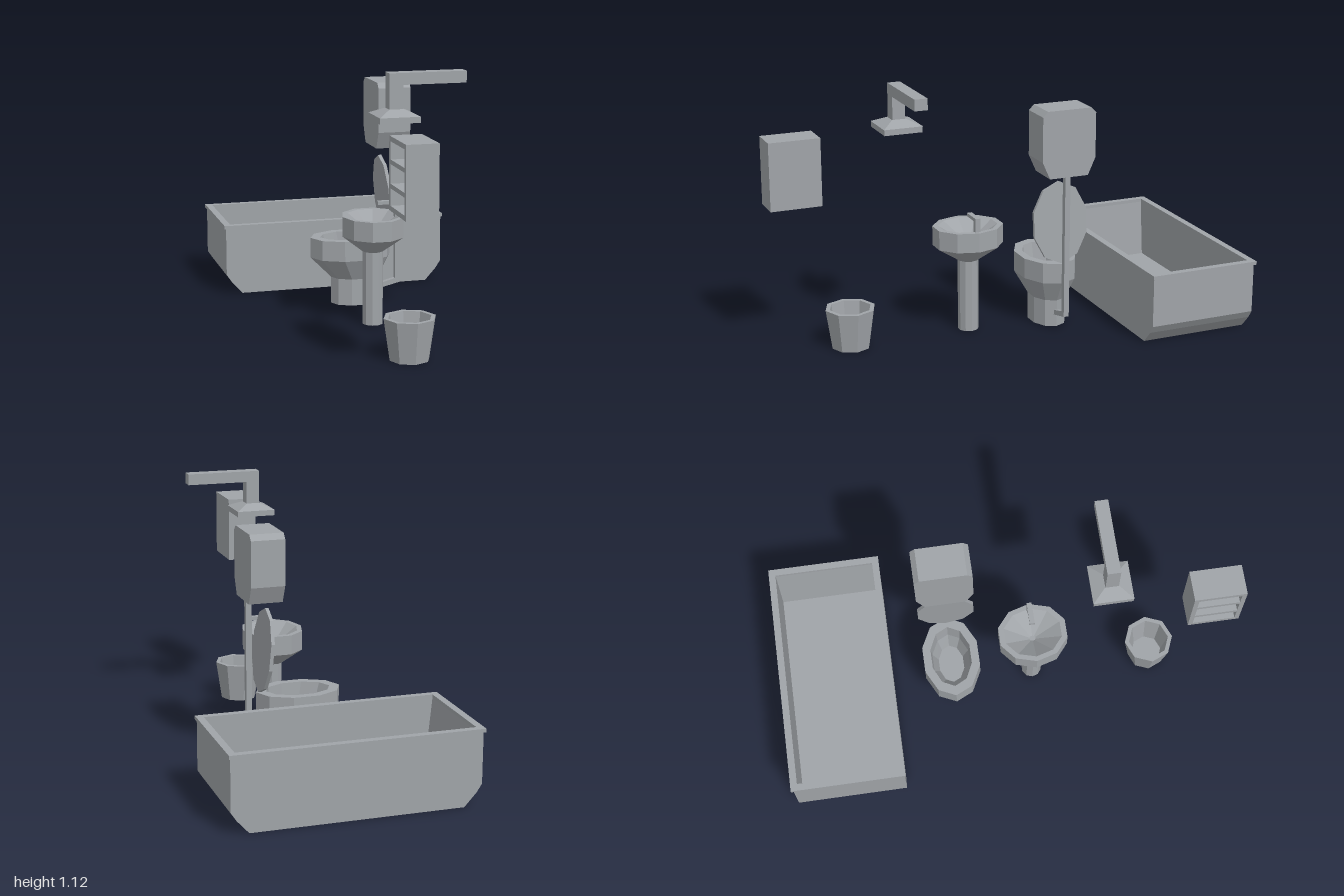
import * as THREE from 'three';

const ceramic = new THREE.MeshStandardMaterial({ color: 0xa0a4a8, flatShading: true });
ceramic.name = 'pale grey';

function add(parent, name, geometry, x = 0, y = 0, z = 0) {
  const mesh = new THREE.Mesh(geometry, ceramic);
  mesh.name = name;
  mesh.position.set(x, y, z);
  parent.add(mesh);
  return mesh;
}

function part(parent, name) {
  const g = new THREE.Group();
  g.name = name;
  parent.add(g);
  return g;
}

// Box given by its extents
function block(parent, name, x0, x1, y0, y1, z0, z1) {
  return add(parent, name, new THREE.BoxGeometry(x1 - x0, y1 - y0, z1 - z0),
    (x0 + x1) / 2, (y0 + y1) / 2, (z0 + z1) / 2);
}

const outline = pts => new THREE.Shape(pts.map(p => new THREE.Vector2(...p)));
const extrude = (shape, depth) => new THREE.ExtrudeGeometry(shape, { depth, bevelEnabled: false });
const rect = (w, h) => [[-w, -h], [w, -h], [w, h], [-w, h]];

// Stacked polygon rings, each [y, centre x, radius x, radius z]
function loft(rings, sides) {
  const pos = [], idx = [];
  for (const [y, cx, rx, rz] of rings)
    for (let j = 0; j < sides; j++) {
      const a = j / sides * Math.PI * 2;
      pos.push(cx + rx * Math.cos(a), y, rz * Math.sin(a));
    }
  for (let i = 0; i < rings.length - 1; i++)
    for (let j = 0; j < sides; j++) {
      const k = (j + 1) % sides;
      const a = i * sides + j, b = i * sides + k, c = a + sides, d = b + sides;
      if (rings[i][2] > 0) idx.push(a, c, b);
      if (rings[i + 1][2] > 0) idx.push(b, c, d);
    }
  const g = new THREE.BufferGeometry();
  g.setAttribute('position', new THREE.Float32BufferAttribute(pos, 3));
  g.setIndex(idx);
  const flat = g.toNonIndexed();
  flat.computeVertexNormals();
  return flat;
}

function addBathtub(model) {
  const tub = part(model, 'bathtub');
  const right = [[0.44, 0], [0.49, 0.055], [0.513, 0.09], [0.513, 0.305]];
  const left = right.map(([x, y]) => [-x, y]).reverse();
  // hollow middle
  const inner = [[0.49, 0.305], [0.465, 0.05], [-0.465, 0.05], [-0.49, 0.305]];
  add(tub, 'tubShell', extrude(outline([...right, ...inner, ...left]), 0.44), 0, 0, -0.97);
  // long walls
  const full = outline([...right, ...left]);
  add(tub, 'tubBackWall', extrude(full, 0.02), 0, 0, -0.99);
  add(tub, 'tubFrontWall', extrude(full, 0.025), 0, 0, -0.53);
  // rim
  const rim = outline(rect(0.52, 0.25));
  rim.holes.push(new THREE.Path(rect(0.49, 0.22).map(p => new THREE.Vector2(...p))));
  add(tub, 'tubRim', extrude(rim, 0.015).rotateX(-Math.PI / 2), 0, 0.305, -0.75);
}

function addToilet(model) {
  const toilet = part(model, 'toilet');
  toilet.position.z = -0.233;
  add(toilet, 'bowl', loft([
    [0, 0.022, 0, 0], [0, 0.022, 0.112, 0.079], [0.12, 0.022, 0.112, 0.079],
    [0.215, 0, 0.184, 0.129], [0.305, 0, 0.184, 0.129],
    [0.305, 0, 0.14, 0.092], [0.22, 0.01, 0.125, 0.085],
    [0.14, 0.022, 0.088, 0.058], [0.14, 0.022, 0, 0],
  ], 10));
  // raised lid
  const lid = new THREE.CylinderGeometry(1, 1, 0.015, 10).scale(0.129, 1, 0.181);
  lid.rotateX(-Math.PI / 2).rotateY(Math.PI / 2).rotateZ(0.09);
  add(toilet, 'lid', lid, 0.152, 0.485, 0);
  // high cistern with cut corners
  const tank = outline([
    [-0.088, 0.71], [0.088, 0.71], [0.122, 0.785], [0.122, 0.98],
    [0.1, 1.003], [-0.1, 1.003], [-0.122, 0.98], [-0.122, 0.785],
  ]);
  add(toilet, 'cistern', extrude(tank, 0.145).rotateY(Math.PI / 2), 0.095, 0, 0);
  // flush pipe
  const pipe = outline([
    [0.12, 0.052], [0.23, 0.078], [0.23, 0.715],
    [0.205, 0.715], [0.205, 0.096], [0.12, 0.073],
  ]);
  add(toilet, 'flushPipe', extrude(pipe, 0.024), 0, 0, -0.012);
}

function addSink(model) {
  const sink = part(model, 'sink');
  sink.position.z = 0.132;
  add(sink, 'basinAndPedestal', loft([
    [0, 0, 0, 0], [0, 0, 0.045, 0.045], [0.32, 0, 0.045, 0.045],
    [0.39, 0, 0.134, 0.155], [0.475, 0, 0.134, 0.155],
    [0.475, 0, 0.112, 0.13], [0.4, 0, 0.012, 0.014], [0.4, 0, 0, 0],
  ], 10));
  block(sink, 'tapPost', 0.095, 0.117, 0.46, 0.535, -0.011, 0.011);
  block(sink, 'tapSpout', 0.02, 0.095, 0.52, 0.535, -0.011, 0.011);
}

function addShower(model) {
  const shower = part(model, 'shower');
  shower.position.z = 0.447;
  block(shower, 'showerPlate', -0.085, 0.085, 0.93, 0.955, -0.083, 0.083);
  const cone = new THREE.CylinderGeometry(0.03 * Math.SQRT2, 0.085 * Math.SQRT2, 0.025, 4, 1, true);
  add(shower, 'showerCone', cone.rotateY(Math.PI / 4), 0, 0.9675, 0);
  block(shower, 'showerStem', -0.03, 0.029, 0.975, 1.125, -0.028, 0.028);
  block(shower, 'showerArm', 0.029, 0.295, 1.077, 1.125, -0.028, 0.028);
}

function addCabinet(model) {
  // shelves open toward -x
  const cabinet = part(model, 'cabinet');
  block(cabinet, 'cabinetBack', -0.01, 0.01, 0.64, 0.93, 0.78, 1);
  for (const z of [0.78, 0.98]) block(cabinet, 'cabinetSide', -0.12, -0.01, 0.64, 0.93, z, z + 0.02);
  for (const y of [0.64, 0.91]) block(cabinet, 'cabinetEnd', -0.12, -0.01, y, y + 0.02, 0.8, 0.98);
  for (const y of [0.728, 0.822]) block(cabinet, 'shelf', -0.12, -0.01, y, y + 0.018, 0.8, 0.98);
}

export function createModel() {
  const model = new THREE.Group();
  model.name = 'bathroomSet';
  addBathtub(model);
  addToilet(model);
  addSink(model);
  addShower(model);
  addCabinet(model);
  // waste bin
  add(model, 'wasteBin', loft([
    [0, 0, 0, 0], [0, 0, 0.083, 0.083], [0.175, 0, 0.109, 0.109],
    [0.175, 0, 0.09, 0.09], [0.025, 0, 0.068, 0.068], [0.025, 0, 0, 0],
  ], 8), 0, 0, 0.67);
  return model;
}
